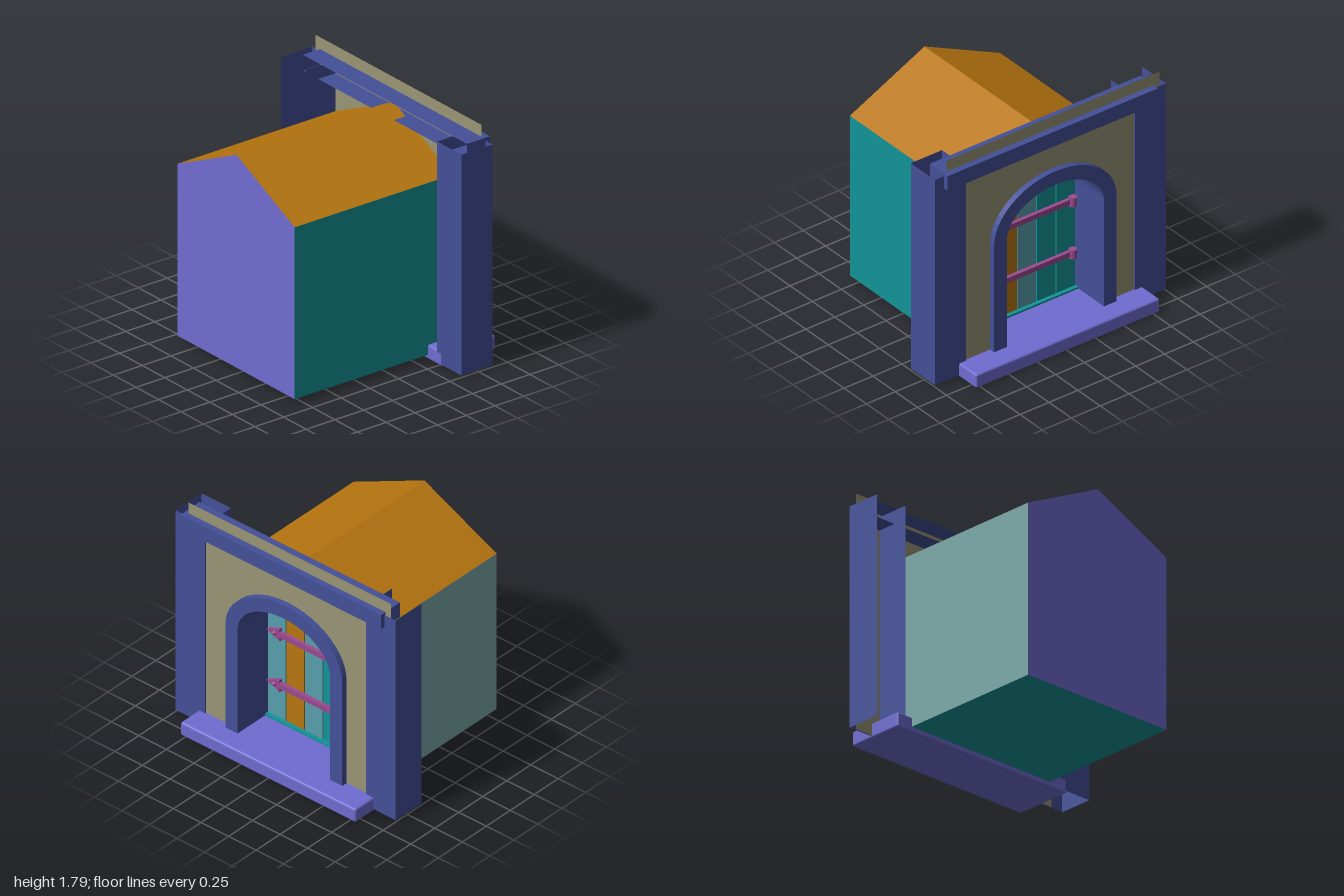
import * as THREE from 'three';
import { RoundedBoxGeometry } from 'three/addons/geometries/RoundedBoxGeometry.js';

const BLUE = 0x435098, PURPLE = 0x6f6cd0, TEAL = 0x129498, GREY_TEAL = 0x79a7a7;
const PALE_TEAL = 0x57a0ad, ORANGE = 0xb8760f, KHAKI = 0x999576, MAGENTA = 0x9b4a8f;

function add(parent, name, geometry, color) {
  const material = new THREE.MeshStandardMaterial({ color, side: THREE.DoubleSide });
  const mesh = new THREE.Mesh(geometry, material);
  mesh.name = name;
  parent.add(mesh);
  return mesh;
}

// Box given by its limits, keeping only the listed faces (0..5 = +x -x +y -y +z -z)
function openBox([x0, x1], [y0, y1], [z0, z1], faces) {
  const g = new THREE.BoxGeometry(x1 - x0, y1 - y0, z1 - z0);
  const index = Array.from(g.index.array);
  g.setIndex(faces.flatMap((f) => index.slice(f * 6, f * 6 + 6)));
  g.clearGroups();
  return g.translate((x0 + x1) / 2, (y0 + y1) / 2, (z0 + z1) / 2);
}

// Flat panel through four corners, counter-clockwise seen from outside
function panel(...corners) {
  const g = new THREE.BufferGeometry();
  g.setAttribute('position', new THREE.Float32BufferAttribute(corners.flat(), 3));
  g.setIndex([0, 1, 2, 0, 2, 3]);
  g.computeVertexNormals();
  return g;
}

const CX = -0.015, SPRING = 0.98;

// Points of an arched outline, from the lower left over the top to the lower right
function archPoints(halfWidth, rise, bottom) {
  const pts = [new THREE.Vector2(CX - halfWidth, bottom)];
  for (let i = 0; i <= 24; i++) {
    const t = Math.PI * (1 - i / 24);
    pts.push(new THREE.Vector2(CX + halfWidth * Math.cos(t), SPRING + rise * Math.sin(t)));
  }
  pts.push(new THREE.Vector2(CX + halfWidth, bottom));
  return pts;
}

function extrude(shape, depth, z) {
  return new THREE.ExtrudeGeometry(shape, { depth, bevelEnabled: false }).translate(0, 0, z);
}

function buildHouse() {
  const house = new THREE.Group();
  house.name = 'house';
  const l = -0.67, r = 0.63, m = -0.015, y0 = 0.04, eave = 1.34, top = 1.65, f = 0.81, b = -0.56;
  const gable = new THREE.Shape([[l, y0], [r, y0], [r, eave], [m, top], [l, eave]]
    .map(([x, y]) => new THREE.Vector2(x, y)));
  add(house, 'frontGable', new THREE.ShapeGeometry(gable).translate(0, 0, f), PURPLE);
  add(house, 'leftWall', panel([r, y0, f], [r, y0, b], [r, eave, b], [r, eave, f]), TEAL);
  add(house, 'rightWall', panel([l, y0, b], [l, y0, f], [l, eave, f], [l, eave, b]), GREY_TEAL);
  add(house, 'leftRoof', panel([r, eave, f], [r, eave, b], [m, top, b], [m, top, f]), ORANGE);
  add(house, 'rightRoof', panel([l, eave, b], [l, eave, f], [m, top, f], [m, top, b]), ORANGE);
  add(house, 'floor', panel([l, y0, b], [r, y0, b], [r, y0, f], [l, y0, f]), TEAL);
  return house;
}

function buildDoor() {
  const door = new THREE.Group();
  door.name = 'door';
  const half = 0.42, rise = 0.29, width = (2 * half) / 5;
  const topAt = (x) => SPRING + rise * Math.sqrt(Math.max(0, 1 - ((x - CX) / half) ** 2));

  // Five planks whose tops follow the arch, from the model's left to its right
  [PALE_TEAL, ORANGE, PALE_TEAL, TEAL, TEAL].forEach((color, i) => {
    const x1 = CX + half - i * width, x0 = x1 - width + 0.006;
    const pts = [new THREE.Vector2(x0, 0.13), new THREE.Vector2(x1, 0.13)];
    for (let k = 0; k <= 6; k++) {
      const x = x1 + (x0 - x1) * (k / 6);
      pts.push(new THREE.Vector2(x, topAt(x)));
    }
    add(door, 'plank', extrude(new THREE.Shape(pts), 0.03, -0.34), color);
  });
  add(door, 'threshold', new THREE.BoxGeometry(2 * half, 0.02, 0.06).translate(CX, 0.12, -0.34), TEAL);

  // Strap hinges with a pointed tip and a round pivot
  for (const y of [0.42, 0.845]) {
    const strap = new THREE.Group();
    strap.name = 'strapHinge';
    const outline = new THREE.Shape([[-0.38, -0.02], [0.28, -0.02], [0.27, -0.05], [0.39, 0],
      [0.27, 0.05], [0.28, 0.02], [-0.38, 0.02]].map(([x, v]) => new THREE.Vector2(x, v)));
    add(strap, 'strap', extrude(outline, 0.03, -0.37), MAGENTA);
    const pivot = new THREE.CylinderGeometry(0.03, 0.03, 0.07, 12);
    add(strap, 'pivot', pivot.translate(-0.39, 0, -0.365), MAGENTA);
    const rivet = new THREE.SphereGeometry(0.018, 10, 8);
    add(strap, 'rivet', rivet.translate(0.32, 0, -0.37), MAGENTA);
    strap.position.y = y;
    door.add(strap);
  }
  return door;
}

export function createModel() {
  const model = new THREE.Group();
  model.name = 'gatehouse';
  model.add(buildHouse(), buildDoor());

  // Thin wall pierced by the doorway
  const wall = new THREE.Shape([[-0.95, 0.02], [0.89, 0.02], [0.89, 1.8], [-0.95, 1.8]]
    .map(([x, y]) => new THREE.Vector2(x, y)));
  wall.holes.push(new THREE.Path(archPoints(0.48, 0.35, 0.06)));
  add(model, 'wall', new THREE.ShapeGeometry(wall).translate(0, 0, -0.61), KHAKI);

  // Arched door surround with a deep reveal
  const trim = new THREE.Shape([...archPoints(0.53, 0.4, 0.1), ...archPoints(0.42, 0.29, 0.1).reverse()]);
  add(model, 'doorSurround', extrude(trim, 0.33, -0.655), BLUE);

  // Hollow posts, open at top and bottom; the right one is open to the front as well
  add(model, 'leftPost', openBox([0.73, 1], [0.02, 1.69], [-0.62, -0.35], [0, 1, 4, 5]), BLUE);
  add(model, 'rightPost', openBox([-1, -0.73], [0.02, 1.69], [-0.62, -0.35], [0, 1, 5]), BLUE);

  // Hollow lintel, open to the front
  add(model, 'lintel', openBox([-0.9, 0.92], [1.59, 1.71], [-0.66, -0.46], [0, 1, 2, 3, 5]), BLUE);

  // Door step
  const step = new RoundedBoxGeometry(1.59, 0.11, 0.46, 2, 0.015);
  add(model, 'doorStep', step.translate(-0.005, 0.06, -0.58), PURPLE);
  model.children.forEach((c) => { c.position.y -= 0.005; });
  return model;
}
